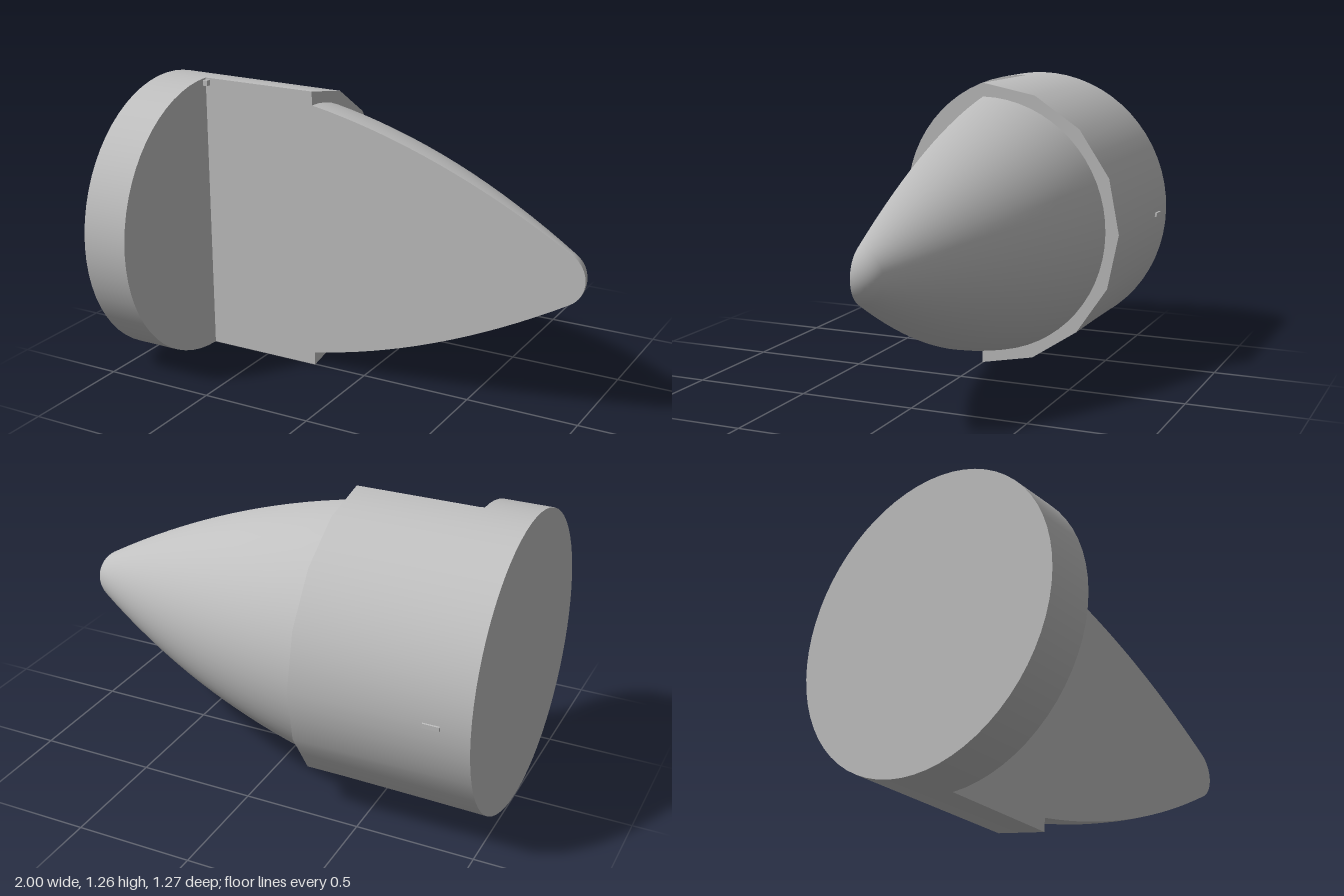
import * as THREE from 'three';

const R = 0.63;          // body radius
const NOSE_R = 0.57;     // nose radius at the shoulder
const BACK = -1, STEP = -0.79, SHOULDER = -0.25;
const ARC = 32;          // segments per half turn

// Outline of the nose as (radius, x): a curved flank and a tangent round tip
function noseProfile() {
  const pts = [];
  const end = 0.94, len = end - SHOULDER;
  const radius = t => NOSE_R - 0.19 * t - 0.168 * t * t;
  for (let i = 0; i <= 16; i++) {
    const t = len * i / 16;
    pts.push(new THREE.Vector2(radius(t), SHOULDER + t));
  }
  const slope = 0.19 + 0.336 * len;
  const tilt = Math.atan(slope);
  const tip = radius(len) / Math.cos(tilt);
  const centre = end - tip * Math.sin(tilt);
  for (let i = 1; i <= 8; i++) {
    const a = tilt + (Math.PI / 2 - tilt) * i / 8;
    pts.push(new THREE.Vector2(i === 8 ? 0 : tip * Math.cos(a), centre + tip * Math.sin(a)));
  }
  return pts;
}

// Half turn around the x axis, on the front (+z) or rear (-z) side
function halfLathe(points, front) {
  const g = new THREE.LatheGeometry(points, ARC, front ? -Math.PI / 2 : Math.PI / 2, Math.PI);
  return g.rotateZ(-Math.PI / 2);
}

// Pull the outer rim at the shoulder in to an eight-sided half outline
function facetRim(g) {
  const p = g.attributes.position, step = Math.PI / 8;
  for (let i = 0; i < p.count; i++) {
    const y = p.getY(i), z = p.getZ(i);
    if (p.getX(i) < SHOULDER - 0.01 || Math.hypot(y, z) < 0.6) continue;
    const a = Math.atan2(-z, y) + 1e-6;
    const f = Math.cos(step / 2) / Math.cos(a - Math.floor(a / step) * step - step / 2);
    p.setY(i, y * f);
    p.setZ(i, z * f);
  }
  return g;
}

export function createModel() {
  const model = new THREE.Group();
  const grey = new THREE.MeshStandardMaterial({ color: 0xc0c0c0 });
  grey.name = 'plain grey';
  const v = (r, x) => new THREE.Vector2(r, x);
  const add = (name, geometry) => {
    const m = new THREE.Mesh(geometry, grey);
    m.name = name;
    model.add(m);
    return m;
  };

  // Base disc
  add('baseBack', new THREE.CircleGeometry(R, ARC * 2).rotateY(-Math.PI / 2).translate(BACK, 0, 0));
  add('baseRim', halfLathe([v(R, BACK), v(R, STEP)], true));
  add('baseStepFace', new THREE.CircleGeometry(R, ARC, Math.PI / 2, Math.PI)
    .rotateY(Math.PI / 2).translate(STEP, 0, 0));

  // Half body and its shoulder
  add('bodyShell', facetRim(halfLathe([v(R, BACK), v(R, SHOULDER)], false)));
  add('shoulder', facetRim(new THREE.RingGeometry(NOSE_R, R, ARC, 1, -Math.PI / 2, Math.PI)
    .rotateY(Math.PI / 2).translate(SHOULDER, 0, 0)));

  // Half nose
  const profile = noseProfile();
  add('nose', halfLathe(profile, false));

  // Flat cut face along the middle
  const cut = new THREE.Shape();
  cut.moveTo(STEP, -R);
  cut.lineTo(SHOULDER, -R);
  profile.forEach(p => cut.lineTo(p.y, -p.x));
  profile.slice(0, -1).reverse().forEach(p => cut.lineTo(p.y, p.x));
  cut.lineTo(SHOULDER, R);
  cut.lineTo(STEP, R);
  add('cutFace', new THREE.ShapeGeometry(cut));

  // Small locating peg in the corner and key on the rear of the body
  add('cornerPeg', new THREE.BoxGeometry(0.022, 0.024, 0.022).translate(STEP + 0.011, 0.61, 0.011));
  add('rearKey', new THREE.BoxGeometry(0.07, 0.018, 0.02).translate(-0.845, 0, -R + 0.002));

  model.position.set(0, R, 0.003);
  const root = new THREE.Group();
  root.name = 'halfNoseCone';
  root.add(model);
  return root;
}
